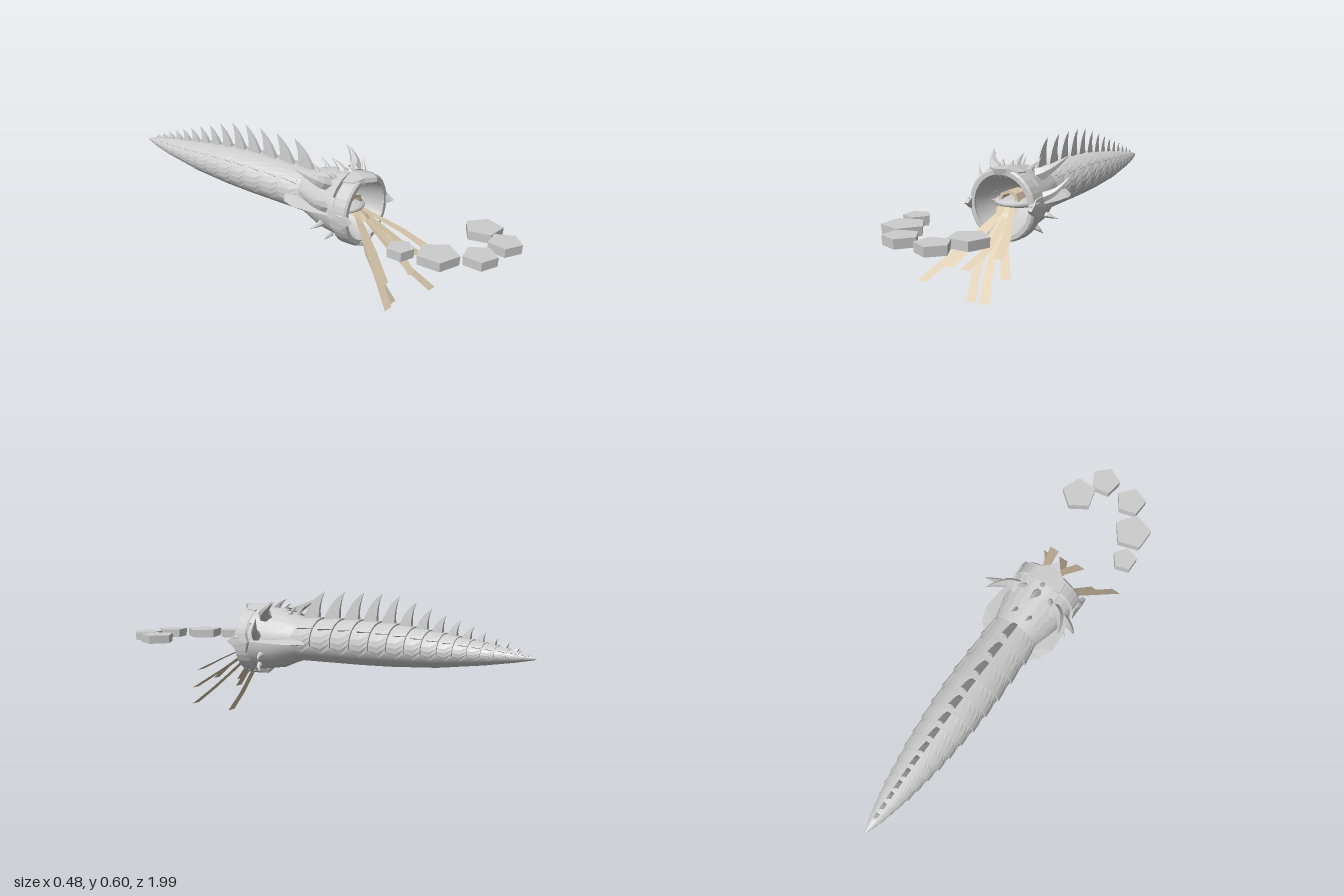
import * as THREE from 'three';

const grey = new THREE.MeshStandardMaterial({ color: 0xcccccc, side: THREE.DoubleSide });
grey.name = 'pale grey hide';
const tan = new THREE.MeshStandardMaterial({ color: 0xd8c8ac, side: THREE.DoubleSide });
tan.name = 'tan tongue';

const V = (x, y, z) => new THREE.Vector3(x, y, z);

function part(parent, name, geo, mat = grey, flat = true) {
  let g = geo;
  if (flat) {
    g = geo.index ? geo.toNonIndexed() : geo;
    g.computeVertexNormals();
  }
  const mesh = new THREE.Mesh(g, mat);
  mesh.name = name;
  parent.add(mesh);
  return mesh;
}

// Skin over equally long rows of points
function loft(rows) {
  const n = rows[0].length, idx = [];
  for (let i = 0; i < rows.length - 1; i++)
    for (let j = 0; j < n - 1; j++) {
      const a = i * n + j, b = a + n;
      idx.push(a, a + 1, b, a + 1, b + 1, b);
    }
  const g = new THREE.BufferGeometry().setFromPoints(rows.flat());
  g.setIndex(idx);
  g.computeVertexNormals();
  return g;
}

// Arc of an ellipse across the body; angle 0 is the top, in degrees
function arc(z, cy, rx, ry, from, to, n) {
  return Array.from({ length: n + 1 }, (_, i) => {
    const a = THREE.MathUtils.degToRad(from + (to - from) * i / n);
    return V(Math.sin(a) * rx, cy + Math.cos(a) * ry, z);
  });
}

// Body stations: z, half width, top, bottom
const stations = [
  [0.12, 0.11, 0.473, 0.285], [-0.1, 0.111, 0.476, 0.288], [-0.25, 0.112, 0.478, 0.29],
  [-0.4, 0.106, 0.472, 0.295], [-0.6, 0.088, 0.45, 0.308], [-0.8, 0.058, 0.422, 0.335],
  [-0.93, 0.028, 0.4, 0.357], [-1, 0.004, 0.382, 0.372]];

function bodyAt(z) {
  let i = 0;
  while (i < stations.length - 2 && z < stations[i + 1][0]) i++;
  const [a, b] = [stations[i], stations[i + 1]];
  const t = THREE.MathUtils.clamp((z - a[0]) / (b[0] - a[0]), 0, 1);
  const [, w, top, bot] = a.map((v, k) => v + (b[k] - v) * t);
  return { w, top, cy: (top + bot) / 2, h: (top - bot) / 2 };
}

function bodyArc(z, scale, half, n) {
  const s = bodyAt(z);
  return arc(z, s.cy, s.w * scale, s.h * scale, -half, half, n);
}

// Tapered curved spike
function horn(a, b, c, r, sides = 6) {
  const curve = new THREE.QuadraticBezierCurve3(a, b, c), steps = 6;
  const g = new THREE.TubeGeometry(curve, steps, r, sides);
  const p = g.attributes.position, v = V(0, 0, 0);
  for (let i = 0; i < p.count; i++) {
    const t = Math.floor(i / (sides + 1)) / steps;
    const c0 = curve.getPointAt(t);
    v.fromBufferAttribute(p, i).sub(c0).multiplyScalar(1 - t).add(c0);
    p.setXYZ(i, v.x, v.y, v.z);
  }
  return g;
}

// Back fin, swept to the rear and thin at the tip
function fin(len, h) {
  const s = new THREE.Shape();
  s.moveTo(0, -0.015);
  s.quadraticCurveTo(len * 0.4, h * 0.75, len * 1.05, h);
  s.quadraticCurveTo(len * 0.7, h * 0.4, len * 0.85, -0.015);
  const g = new THREE.ExtrudeGeometry(s, { depth: 0.02, bevelEnabled: false, curveSegments: 5 });
  g.translate(0, 0, -0.01);
  const p = g.attributes.position;
  for (let i = 0; i < p.count; i++) p.setZ(i, p.getZ(i) * (1 - 0.95 * Math.max(0, p.getY(i)) / h));
  return g.rotateY(Math.PI / 2);
}

// Pointed lip plate curved around the mouth
function lip(w, zTip, R) {
  const k = w / 0.08, s = new THREE.Shape();
  s.moveTo(-w, 0.27);
  [[-0.072 * k, 0.32], [-0.03 * k, 0.345], [0, zTip], [0.03 * k, 0.345], [0.072 * k, 0.32], [w, 0.27], [0, 0.255]]
    .forEach(([x, y]) => s.lineTo(x, y));
  const g = new THREE.ExtrudeGeometry(s, { depth: 0.02, bevelEnabled: false });
  g.rotateX(Math.PI / 2);
  const p = g.attributes.position;
  for (let i = 0; i < p.count; i++) {
    const x = p.getX(i);
    p.setY(i, p.getY(i) + Math.sqrt(R * R - x * x));
  }
  return g;
}

function lathe(points, n = 32) {
  return new THREE.LatheGeometry(points.map(([r, z]) => new THREE.Vector2(r, z)), n).rotateX(Math.PI / 2);
}

function buildBody(parent) {
  // Smooth core and belly
  const rows = [];
  for (let i = 0; i <= 28; i++) rows.push(bodyArc(0.12 - 1.12 * i / 28, 1, 180, 28));
  part(parent, 'belly', loft(rows), grey, false);

  // Overlapping armour rings, each with a fin
  let z = 0.065, len = 0.11;
  for (let i = 0; i < 15; i++) {
    const end = Math.max(z - len, -0.995);
    const at = (t) => z + (end - z) * t;
    part(parent, 'armourRing', loft([
      bodyArc(at(0), 1.0, 98, 16), bodyArc(at(0.5), 1.035, 118, 16),
      bodyArc(at(1), 1.075, 100, 16), bodyArc(at(1), 0.98, 98, 16)]));
    const h = 0.12 * Math.min(1, (z - len * 0.9 + 1) / 0.62);
    if (h > 0.008) part(parent, 'backFin', fin(len, h)).position.set(0, bodyAt(at(0.5)).top, z);
    // Rows of ridges along the flanks
    for (const a of [-52, 52]) {
      const b0 = bodyArc(at(0.3), 1.03, a, 1)[1], b1 = bodyArc(at(1.12), 1.1, a, 1)[1];
      part(parent, 'flankRidge', horn(b0, b0.clone().lerp(b1, 0.6), b1, 0.09 * len, 4));
    }
    z = end;
    len *= 0.93;
  }
}

function buildHead(parent) {
  const cy = 0.365;
  // Skull shell, mouth rim and throat
  const shell = [[0.05, 0.383, 0.108, 0.095], [0.1, 0.378, 0.122, 0.108], [0.16, 0.37, 0.138, 0.125],
    [0.24, 0.367, 0.146, 0.134], [0.3, 0.365, 0.148, 0.14]];
  part(parent, 'skull', loft(shell.map(([z, y, rx, ry]) => arc(z, y, rx, ry, -180, 180, 32))), grey, false);
  part(parent, 'mouthRim', lathe([[0.146, 0.265], [0.156, 0.275], [0.156, 0.33], [0.148, 0.338], [0.13, 0.338], [0.13, 0.3]])).position.y = cy;
  part(parent, 'throat', lathe([[0.001, 0.07], [0.05, 0.1], [0.095, 0.2], [0.118, 0.28], [0.132, 0.335]]), grey, false).position.y = cy;

  // Brow plates over the skull
  [[0.09, 0.15, 0.128], [0.14, 0.21, 0.142], [0.2, 0.262, 0.15]].forEach(([z0, z1, r]) =>
    part(parent, 'browPlate', loft([arc(z0, cy + 0.005, r, r * 0.96, -62, 62, 8),
      arc(z1, cy + 0.005, r * 1.06, r * 1.03, -58, 58, 8), arc(z1, cy, r * 0.95, r * 0.93, -58, 58, 8)])));

  // Four lips with teeth
  [[0.08, 0.385, 0.16, 0, 'upperLip'], [0.08, 0.35, 0.157, Math.PI, 'lowerLip'],
    [0.042, 0.368, 0.162, Math.PI / 2, 'rightLip'], [0.042, 0.368, 0.162, -Math.PI / 2, 'leftLip']]
    .forEach(([w, tip, R, turn, name]) => {
      const m = part(parent, name, lip(w, tip, R));
      m.position.y = cy;
      m.rotation.z = turn;
    });
  for (const s of [1, -1]) for (let i = -2; i <= 2; i++) {
    const x = i * 0.014, y = cy + s * 0.147;
    part(parent, 'tooth', horn(V(x, y, 0.335), V(x, y - s * 0.015, 0.345), V(x, y - s * (i % 2 ? 0.027 : 0.034), 0.34), 0.006, 5));
  }

  // Crest
  part(parent, 'crestSpike', horn(V(0, 0.5, 0.22), V(0, 0.535, 0.2), V(0, 0.555, 0.15), 0.022));
  part(parent, 'noseBump', horn(V(0, 0.505, 0.26), V(0, 0.53, 0.25), V(0, 0.54, 0.235), 0.02));

  // Paired horns, spikes and cheek frills: base, bend, tip, radius
  const spikes = [
    ['upperHorn', [0.095, 0.48, 0.2], [0.15, 0.5, 0.19], [0.185, 0.555, 0.09], 0.032],
    ['lowerHorn', [0.135, 0.395, 0.22], [0.195, 0.415, 0.2], [0.23, 0.49, 0.15], 0.024],
    ['napeSpike', [0.035, 0.465, 0.12], [0.035, 0.5, 0.11], [0.036, 0.53, 0.07], 0.014],
    ['browSpike', [0.06, 0.49, 0.22], [0.075, 0.52, 0.21], [0.085, 0.53, 0.18], 0.016],
    ['cheekSpike', [0.13, 0.315, 0.2], [0.155, 0.31, 0.2], [0.182, 0.298, 0.18], 0.014],
    ['jawSpike', [0.1, 0.265, 0.23], [0.12, 0.255, 0.23], [0.125, 0.235, 0.21], 0.014],
    ['rimHook', [0.145, 0.385, 0.3], [0.168, 0.385, 0.31], [0.145, 0.38, 0.36], 0.013]];
  for (const s of [1, -1]) {
    for (const [name, ...d] of spikes) {
      const [a, b, c] = d.slice(0, 3).map(([x, y, z]) => V(x * s, y, z));
      part(parent, name, horn(a, b, c, d[3]));
    }
    part(parent, 'cheekFrill', loft([[0.25, 0.155], [0.17, 0.172], [0.08, 0.178], [0.02, 0.155], [-0.02, 0.115]]
      .map(([z, x]) => [V(s * 0.09, 0.395, z), V(s * x, 0.372, z), V(s * 0.09, 0.36, z)])));
  }
}

function buildTongue(parent) {
  const pad = part(parent, 'tonguePad', new THREE.SphereGeometry(1, 20, 10), grey, false);
  pad.scale.set(0.1, 0.025, 0.11);
  pad.position.set(0, 0.362, 0.2);
  // Arch over the tongue root
  const outer = [[-0.048, 0.375], [-0.036, 0.405], [0, 0.418], [0.036, 0.408], [0.05, 0.375]];
  part(parent, 'tongueArch', loft([[0.2, 1], [0.28, 1], [0.28, 0.7], [0.2, 0.7]].map(([z, k]) =>
    outer.map(([x, y]) => V(x * k, 0.375 + (y - 0.375) * k, z)))), tan);
  part(parent, 'tongueRoot', loft([[0.22, 0.36, 0.05], [0.3, 0.345, 0.045], [0.34, 0.315, 0.025]]
    .map(([z, y, w]) => [V(-w, y, z), V(0, y + 0.012, z), V(w, y, z)])), tan);

  // Flat ribbons: end depth, then x and y along the centre line
  const ribbons = [
    [0.6, [-0.02, 0.335], [-0.09, 0.235], [-0.21, 0.085]],
    [0.53, [-0.01, 0.335], [-0.07, 0.225], [-0.132, 0.137]],
    [0.51, [0, 0.33], [-0.048, 0.2], [-0.053, 0.09], [-0.037, 0]],
    [0.58, [0.015, 0.335], [0.03, 0.225], [-0.014, 0.155]],
    [0.615, [0.015, 0.335], [0.035, 0.2], [0.06, 0.12], [0.1, 0.045]],
    [0.56, [0.03, 0.34], [0.085, 0.225], [0.16, 0.137]],
    [0.56, [0.03, 0.35], [0.1, 0.27], [0.126, 0.215]]];
  for (const [zEnd, ...pts] of ribbons) {
    const y0 = pts[0][1], y1 = pts[pts.length - 1][1];
    part(parent, 'tongueRibbon', loft(pts.map(([x, y], i) => {
      const w = i ? 0.015 + 0.008 * i / (pts.length - 1) : 0.012;
      const z = 0.3 + (zEnd - 0.3) * (y0 - y) / (y0 - y1);
      return [V(x - w, y, z), V(x + w, y, z)];
    })), tan);
  }
}

export function createModel() {
  const model = new THREE.Group();
  model.name = 'armouredSerpent';
  const creature = new THREE.Group();
  creature.name = 'creature';
  creature.position.x = 0.005;
  model.add(creature);
  buildBody(creature);
  buildHead(creature);
  buildTongue(creature);

  // Curved row of five-sided stones: x, z, radius, turn
  [[-0.192, 0.632, 0.056, 0], [-0.147, 0.77, 0.086, 0], [-0.057, 0.9, 0.07, -0.05],
    [0.1, 0.923, 0.07, -0.15], [0.163, 0.796, 0.08, 0.25]].forEach(([x, z, r, turn]) => {
    const stone = part(model, 'stone', new THREE.CylinderGeometry(r, r * 0.97, 0.038, 5));
    stone.position.set(x, 0.35, z);
    stone.rotation.y = Math.PI / 2 + turn;
  });
  return model;
}
